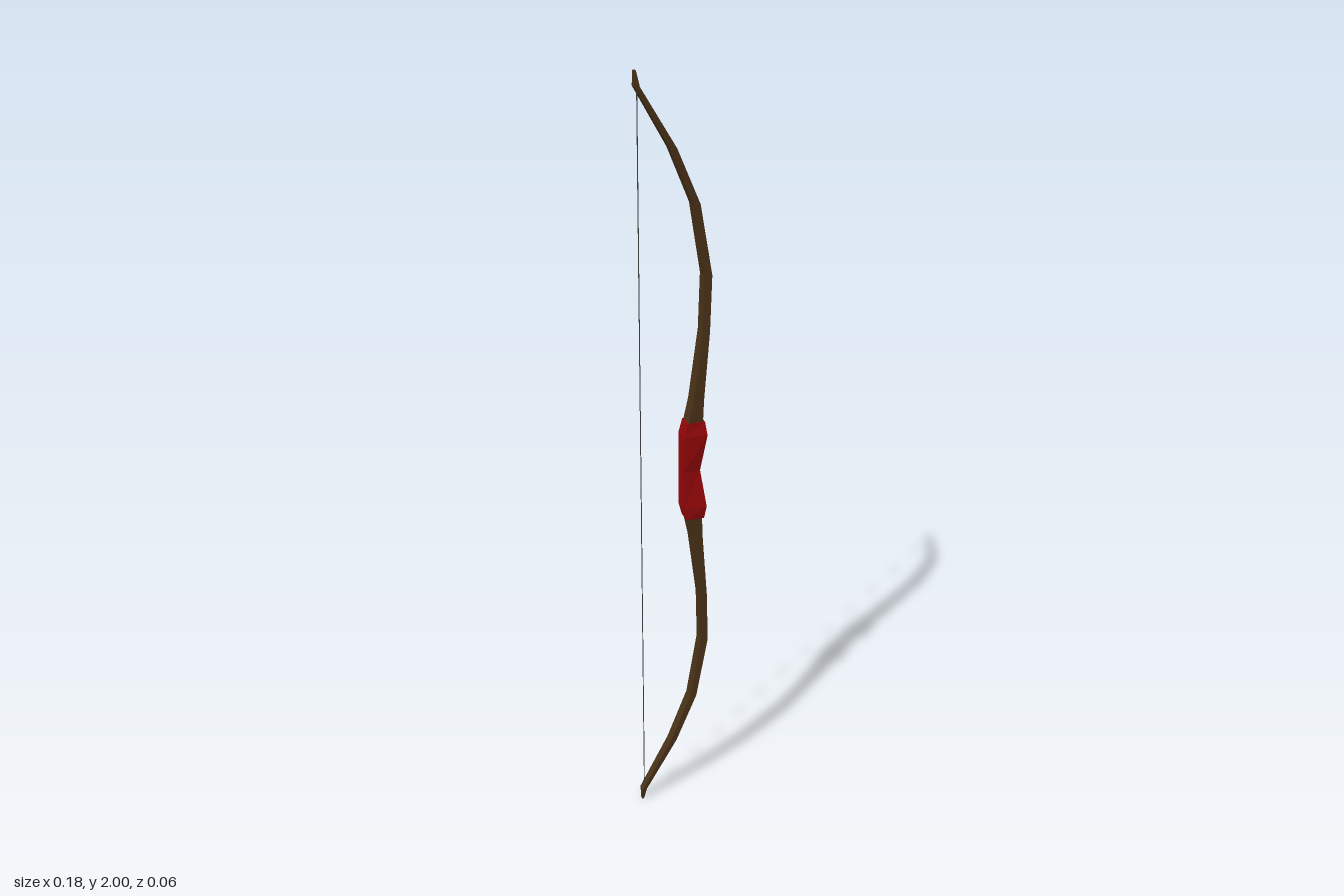
import * as THREE from 'three';

const wood = new THREE.MeshStandardMaterial({ color: 0x4a3218, flatShading: true });
const leather = new THREE.MeshStandardMaterial({ color: 0x960608, flatShading: true });
const cord = new THREE.MeshStandardMaterial({ color: 0x444444 });

// Loft four-sided rings, listed bottom to top as [y, xBack, xFront, halfZBack, halfZFront]
function loft(rings) {
  const pos = [], index = [];
  for (const [y, xb, xf, zb, zf] of rings) {
    pos.push(xb, y, zb, xf, y, zf, xf, y, -zf, xb, y, -zb);
  }
  for (let r = 0; r < rings.length - 1; r++) {
    for (let i = 0; i < 4; i++) {
      const a = r * 4 + i, b = r * 4 + (i + 1) % 4;
      index.push(a, b, b + 4, a, b + 4, a + 4);
    }
  }
  const t = (rings.length - 1) * 4;
  index.push(0, 2, 1, 0, 3, 2, t, t + 1, t + 2, t, t + 2, t + 3);
  const indexed = new THREE.BufferGeometry();
  indexed.setAttribute('position', new THREE.Float32BufferAttribute(pos, 3));
  indexed.setIndex(index);
  const geo = indexed.toNonIndexed();
  geo.computeVertexNormals();
  return geo;
}

// Complete a profile running upward from the middle (y = 1) with its mirror image below
function mirrored(upper) {
  const lower = upper.filter(r => r[0] > 1).map(([y, ...rest]) => [2 - y, ...rest]).reverse();
  return [...lower, ...upper];
}

function addMesh(group, name, geometry, material) {
  const mesh = new THREE.Mesh(geometry, material);
  mesh.name = name;
  group.add(mesh);
  return mesh;
}

export function createModel() {
  const bow = new THREE.Group();
  bow.name = 'recurveBow';

  // Wooden stave: riser, recurved limbs and pointed tips
  addMesh(bow, 'stave', loft(mirrored([
    [1.0, 0.03, 0.056, 0.009, 0.009],
    [1.12, 0.031, 0.07, 0.017, 0.019],
    [1.19, 0.046, 0.073, 0.016, 0.018],
    [1.37, 0.069, 0.087, 0.014, 0.017],
    [1.51, 0.073, 0.091, 0.014, 0.017],
    [1.685, 0.044, 0.061, 0.013, 0.015],
    [1.82, -0.011, 0.005, 0.012, 0.013],
    [1.965, -0.092, -0.08, 0.009, 0.009],
    [2.0, -0.092, -0.087, 0.004, 0.004],
  ])), wood);

  // Leather grip, pinched at the middle
  addMesh(bow, 'grip', loft(mirrored([
    [1.0, 0.021, 0.066, 0.014, 0.014],
    [1.1, 0.022, 0.079, 0.018, 0.028],
    [1.135, 0.031, 0.075, 0.017, 0.021],
  ])), leather);

  // String between the tips
  const string = addMesh(bow, 'string', new THREE.CylinderGeometry(0.0012, 0.0012, 1.93, 6), cord);
  string.position.set(-0.084, 1, 0);

  return bow;
}
